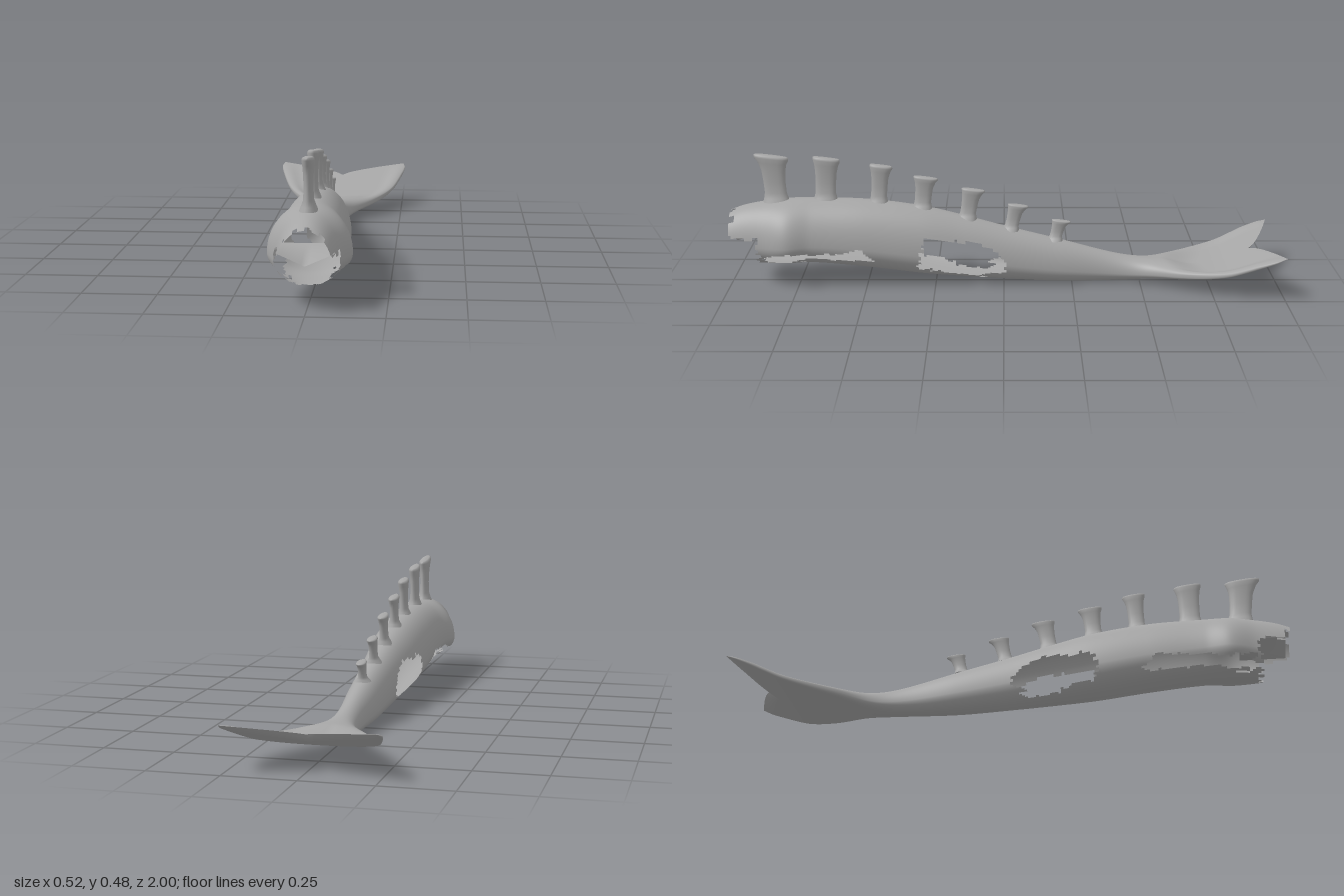
import * as THREE from 'three';

// Body stations along z: [z, top y, bottom y, half width]
const STATIONS = [
  [-1.0, 0.168, 0.155, 0.255], [-0.9, 0.142, 0.108, 0.255], [-0.87, 0.13, 0.095, 0.262],
  [-0.8, 0.105, 0.068, 0.243], [-0.7, 0.09, 0.045, 0.2], [-0.6, 0.088, 0.028, 0.14],
  [-0.5, 0.092, 0.012, 0.068], [-0.4, 0.108, 0.005, 0.049], [-0.2, 0.16, 0.002, 0.064],
  [0, 0.21, 0.012, 0.077], [0.15, 0.25, 0.022, 0.09], [0.3, 0.285, 0.035, 0.105],
  [0.5, 0.31, 0.06, 0.112], [0.7, 0.315, 0.078, 0.117], [0.79, 0.312, 0.076, 0.137],
  [0.88, 0.302, 0.075, 0.108], [0.95, 0.288, 0.08, 0.094], [1.0, 0.27, 0.09, 0.086],
];

// Torn openings, as (z, y) outlines repeated on both sides
const GILL_TEAR = [[0.87, 0.13], [0.8, 0.128], [0.6, 0.138], [0.52, 0.152], [0.5, 0.125], [0.47, 0.1],
  [0.6, 0.1], [0.7, 0.112], [0.78, 0.09], [0.87, 0.085]];
const FLANK_TEAR = [[0.31, 0.13], [0.29, 0.17], [0.26, 0.19], [0.24, 0.17], [0.12, 0.175], [0.05, 0.145],
  [0.0, 0.1], [0.0, 0.06], [0.03, 0.055], [0.08, 0.03], [0.2, 0.05], [0.24, 0.065], [0.31, 0.07]];

// Smooth interpolation of one station column
function sample(z, col) {
  const T = STATIONS, n = T.length;
  let i = 0;
  while (i < n - 2 && z > T[i + 1][0]) i++;
  const slope = (k) => {
    const a = T[Math.max(k - 1, 0)], b = T[Math.min(k + 1, n - 1)];
    return (b[col] - a[col]) / (b[0] - a[0]);
  };
  const h = T[i + 1][0] - T[i][0], t = THREE.MathUtils.clamp((z - T[i][0]) / h, 0, 1);
  const t2 = t * t, t3 = t2 * t;
  return (2 * t3 - 3 * t2 + 1) * T[i][col] + (t3 - 2 * t2 + t) * h * slope(i)
    + (3 * t2 - 2 * t3) * T[i + 1][col] + (t3 - t2) * h * slope(i + 1);
}

function inside(z, y, poly) {
  let hit = false;
  poly.forEach(([az, ay], i) => {
    const [bz, by] = poly[(i + 1) % poly.length];
    if ((ay > y) !== (by > y) && z < (bz - az) * (y - ay) / (by - ay) + az) hit = !hit;
  });
  return hit;
}

// Skin closed rings of [x, y, z] points, leaving out quads that keep() rejects
function loft(rings, keep = () => true) {
  const n = rings[0].length, index = [];
  for (let i = 0; i < rings.length - 1; i++) {
    for (let j = 0; j < n; j++) {
      const k = (j + 1) % n;
      const p = rings[i][j], q = rings[i + 1][k];
      if (!keep((p[0] + q[0]) / 2, (p[1] + q[1]) / 2, (p[2] + q[2]) / 2)) continue;
      const a = i * n + j, b = i * n + k, c = a + n, d = b + n;
      index.push(a, b, d, a, d, c);
    }
  }
  const g = new THREE.BufferGeometry();
  g.setAttribute('position', new THREE.Float32BufferAttribute(rings.flat(2), 3));
  g.setIndex(index);
  g.computeVertexNormals();
  return g;
}

// One cross-section, changing from an arched trunk to a flat, dished fluke
function bodyRing(z) {
  const { smoothstep, lerp } = THREE.MathUtils;
  const fluke = 1 - smoothstep(z, -0.66, -0.45);
  const dish = 1 - smoothstep(z, -0.7, -0.57);
  const sweep = 0.1 * Math.min(1, Math.max(0, (-0.4 - z) / 0.5));
  const taper = Math.sqrt(Math.min(1, Math.max(0, (z + 0.9) / 0.03)));
  const hw = sample(z, 3), ring = [];
  for (let j = 0; j < 72; j++) {
    const a = (j / 72) * Math.PI * 2, u = Math.cos(a), s = Math.sin(a);
    const zz = z - sweep * Math.pow(Math.abs(u), 0.7);
    const top = sample(zz, 1), bottom = sample(zz, 2);
    const mid = lerp(bottom, top, lerp(0.35, 0.5, fluke));
    const bulge = Math.sign(s) * Math.pow(Math.abs(s), lerp(1, 0.55, fluke));
    let h = (s > 0 ? top - mid : mid - bottom) * bulge * taper;
    if (s > 0) h *= 1 - 0.9 * dish * smoothstep(1 - Math.abs(u), 0.06, 0.3);
    ring.push([hw * u, mid + h, zz]);
  }
  return ring;
}

// Skin survives outside the tears and the ragged open mouth
function keepSkin(x, y, z) {
  if (z < -0.05) return true;
  const rag = 0.008 * Math.sin(x * 190) + 0.006 * Math.sin(y * 260 + z * 90);
  if (z > 0.89 + rag && y < 0.19 + rag) return false;
  if (z > 0.985 && Math.sin(x * 150) > 0.3) return false;
  return !inside(z + rag, y + rag * 0.6, GILL_TEAR) && !inside(z + rag, y + rag * 0.6, FLANK_TEAR);
}

// Dorsal spines: [base z, top z, base y, top y, shaft half depth, tip half depth]
const SPINES = [
  [0.83, 0.845, 0.312, 0.473, 0.04, 0.064], [0.65, 0.645, 0.314, 0.464, 0.037, 0.05],
  [0.457, 0.447, 0.305, 0.437, 0.029, 0.042], [0.298, 0.285, 0.285, 0.393, 0.03, 0.045],
  [0.134, 0.112, 0.246, 0.348, 0.029, 0.043], [-0.026, -0.052, 0.203, 0.289, 0.025, 0.038],
  [-0.188, -0.21, 0.163, 0.23, 0.023, 0.035],
];

function spineGeometry([zb, zt, yb, yt, shaft, tip]) {
  // [height, depth flare, half width, lean]
  const rows = [[-0.12, -0.3, 0.034, -0.1], [0.03, -0.12, 0.024, 0], [0.15, 0, 0.017, 0.12], [0.4, 0.02, 0.015, 0.35],
    [0.65, 0.15, 0.016, 0.55], [0.83, 0.5, 0.018, 0.8], [0.94, 0.95, 0.02, 1],
    [0.99, 0.95, 0.018, 1], [1.01, 0.7, 0.012, 1], [1.015, -1, 0, 1]];
  const size = 0.8 + 0.2 * (yt - yb) / 0.16;
  const rings = rows.map(([t, flare, w, lean], i) => {
    const last = i === rows.length - 1;
    const depth = last ? 0 : i < 2 ? shaft * (1 - flare) : shaft + (tip - shaft) * flare;
    return Array.from({ length: 20 }, (_, j) => {
      const a = -(j / 20) * Math.PI * 2, c = Math.cos(a), s = Math.sin(a);
      const dz = depth * Math.sign(s) * Math.pow(Math.abs(s), 0.8);
      const y = yb + (yt - yb) * t + dz * 0.12 * Math.max(0, t);
      return [w * size * c, y, zb + (zt - zb) * lean + dz];
    });
  });
  return loft(rings);
}

export function createModel() {
  const model = new THREE.Group();
  model.name = 'finnedSeaCreature';
  const skin = new THREE.MeshStandardMaterial({ color: 0xa6a6a6, side: THREE.DoubleSide });
  skin.name = 'greySkin';
  const add = (name, geometry) => {
    const mesh = new THREE.Mesh(geometry, skin);
    mesh.name = name;
    model.add(mesh);
  };

  // Hollow trunk running into the tail fluke
  const rings = [];
  for (let i = 0; i <= 190; i++) rings.push(bodyRing(-0.9 + i * 0.01));
  add('bodyAndTail', loft(rings, keepSkin));

  // Row of spines down the back
  SPINES.forEach((spine, i) => add(`dorsalSpine${i + 1}`, spineGeometry(spine)));

  // Thin palate dipping at the middle of the mouth
  const palate = new THREE.PlaneGeometry(0.18, 0.16, 16, 8).rotateX(-Math.PI / 2);
  const p = palate.attributes.position;
  for (let i = 0; i < p.count; i++) {
    const x = p.getX(i), front = (p.getZ(i) + 0.08) / 0.16;
    p.setXYZ(i, x, 0.195 - 0.04 * front * (1 - Math.abs(x) / 0.09), 0.9 + p.getZ(i));
  }
  palate.computeVertexNormals();
  add('palate', palate);
  return model;
}
